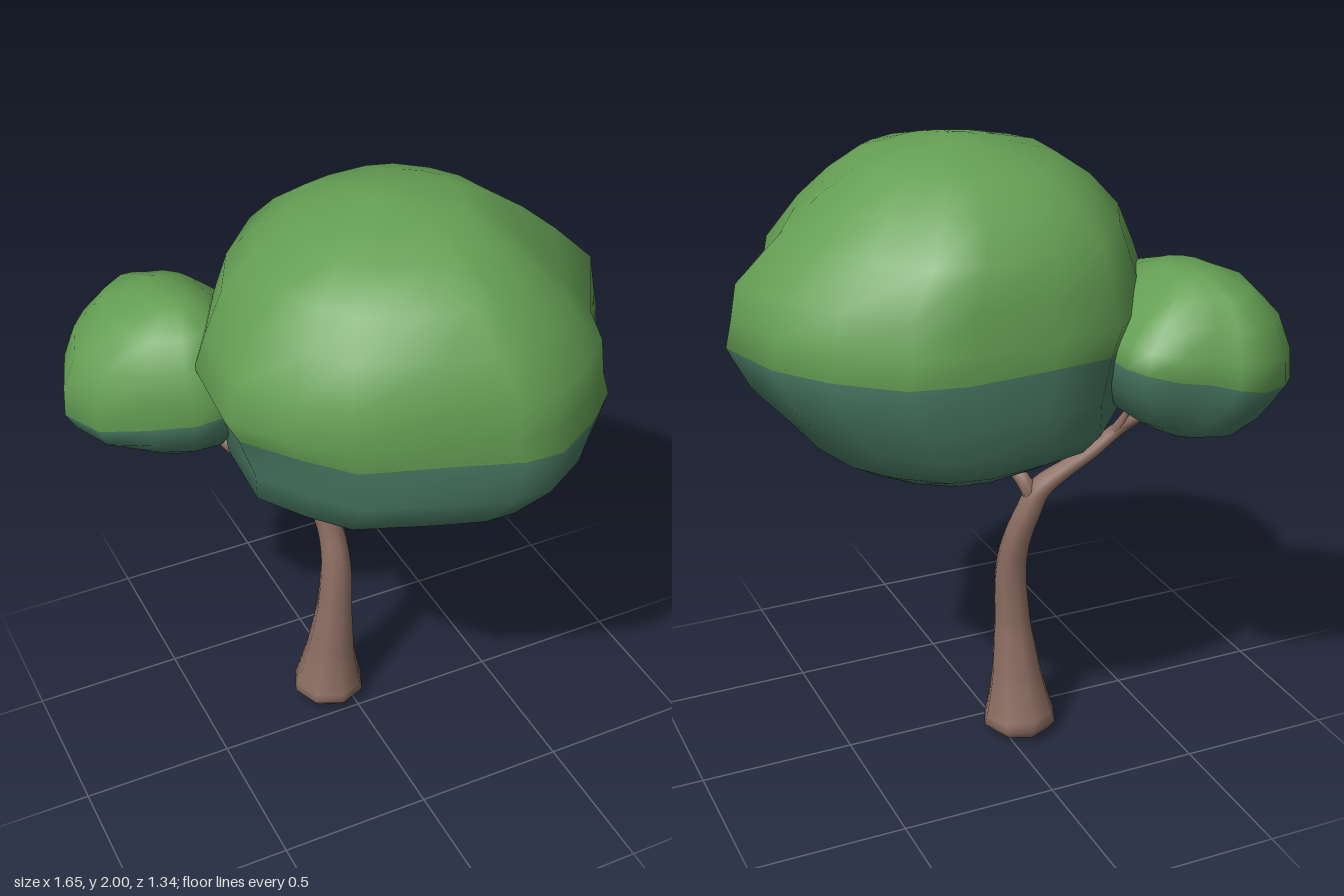
import * as THREE from 'three';
import { mergeVertices } from 'three/addons/utils/BufferGeometryUtils.js';

const bark = new THREE.MeshStandardMaterial({ color: 0x8d6e63 });
bark.name = 'bark brown';
const leafLight = new THREE.MeshStandardMaterial({ color: 0x659f54 });
leafLight.name = 'leaf green';
const leafDark = new THREE.MeshStandardMaterial({ color: 0x4c7d66 });
leafDark.name = 'shaded leaf green';

// Tapered limb swept along a curve; each point is [x, y, z, radius]
function limb(name, pts, segments) {
  const curve = new THREE.CatmullRomCurve3(pts.map(p => new THREE.Vector3(p[0], p[1], p[2])));
  const sides = 8;
  const tube = new THREE.TubeGeometry(curve, segments, 1, sides, false);
  const pos = tube.attributes.position;
  const v = new THREE.Vector3();
  for (let i = 0; i <= segments; i++) {
    const u = i / segments;
    const k = curve.getUtoTmapping(u) * (pts.length - 1);
    const a = Math.min(Math.floor(k), pts.length - 2);
    const r = THREE.MathUtils.lerp(pts[a][3], pts[a + 1][3], k - a);
    const c = curve.getPointAt(u);
    for (let j = 0; j <= sides; j++) {
      const n = i * (sides + 1) + j;
      v.fromBufferAttribute(pos, n).sub(c).multiplyScalar(r).add(c);
      pos.setXYZ(n, v.x, v.y, v.z);
    }
  }
  // weld the seam so the normals follow the taper smoothly
  tube.deleteAttribute('uv');
  tube.deleteAttribute('normal');
  const geo = mergeVertices(tube, 1e-5);
  geo.computeVertexNormals();
  const mesh = new THREE.Mesh(geo, bark);
  mesh.name = name;
  return mesh;
}

// Lumpy foliage lofted through levels [y, xMin, xMax, zMin, zMax, slope along x];
// the outline is the widest plan shape, and the levels above splitRow are light
function foliage(name, outline, levels, splitRow) {
  const span = k => {
    const s = outline.map(p => p[k]);
    return [Math.min(...s), Math.max(...s)];
  };
  const [x0, x1] = span(0), [z0, z1] = span(1);
  const shape = outline.map(([x, z]) => [(2 * x - x0 - x1) / (x1 - x0), (2 * z - z0 - z1) / (z1 - z0)]);
  const n = shape.length;
  const verts = [], index = [];
  for (const [y, xa, xb, za, zb, slope = 0] of levels) {
    const hx = (xb - xa) / 2, hz = (zb - za) / 2;
    const wide = Math.min(1, (2 * hx) / (x1 - x0));
    for (const [sx, sz] of shape) {
      // narrow rings become rounder
      const m = THREE.MathUtils.lerp(1 / Math.hypot(sx, sz), 1, wide);
      const dx = sx * m * hx;
      verts.push((xa + xb) / 2 + dx, y + slope * dx, (za + zb) / 2 + sz * m * hz);
    }
  }
  // end cap centres
  const ends = [levels[0], levels[levels.length - 1]];
  for (const [y, xa, xb, za, zb] of ends) verts.push((xa + xb) / 2, y, (za + zb) / 2);
  const low = levels.length * n, high = low + 1;
  for (let j = 0; j < n; j++) index.push(low, (j + 1) % n, j);
  let split = 0;
  for (let i = 0; i < levels.length - 1; i++) {
    if (i === splitRow) split = index.length;
    for (let j = 0; j < n; j++) {
      const a = i * n + j, b = i * n + (j + 1) % n;
      index.push(a, b, b + n, a, b + n, a + n);
    }
  }
  const top = (levels.length - 1) * n;
  for (let j = 0; j < n; j++) index.push(high, top + j, top + (j + 1) % n);
  const geo = new THREE.BufferGeometry();
  geo.setAttribute('position', new THREE.Float32BufferAttribute(verts, 3));
  geo.setIndex(index);
  geo.computeVertexNormals();
  geo.addGroup(0, split, 0);
  geo.addGroup(split, index.length - split, 1);
  const mesh = new THREE.Mesh(geo, [leafDark, leafLight]);
  mesh.name = name;
  return mesh;
}

export function createModel() {
  const tree = new THREE.Group();
  tree.name = 'tree';

  // Trunk, bending back and running on into the long branch
  tree.add(limb('trunk', [
    [-0.06, 0.012, -0.12, 0.1], [-0.06, 0.04, -0.12, 0.127], [-0.053, 0.2, -0.112, 0.088],
    [-0.042, 0.4, -0.1, 0.063], [-0.032, 0.6, -0.108, 0.053], [-0.04, 0.72, -0.135, 0.045],
    [-0.066, 0.82, -0.16, 0.041], [-0.1, 0.9, -0.172, 0.038], [-0.18, 0.96, -0.19, 0.029],
    [-0.26, 1.015, -0.21, 0.025], [-0.345, 1.09, -0.235, 0.022], [-0.385, 1.15, -0.31, 0.016],
    [-0.4, 1.175, -0.39, 0.006],
  ], 48));
  const base = new THREE.Mesh(new THREE.ConeGeometry(0.105, 0.012, 8, 1, true), bark);
  base.name = 'trunkBase';
  base.rotation.x = Math.PI;
  base.position.set(-0.06, 0.006, -0.12);
  tree.add(base);

  // Smaller branches and twigs
  tree.add(limb('frontBranch', [
    [-0.08, 0.85, -0.17, 0.024], [-0.057, 0.92, -0.155, 0.026], [-0.022, 0.98, -0.09, 0.02],
    [-0.002, 1.035, -0.035, 0.017], [0.05, 1.057, 0.035, 0.016], [0.116, 1.07, 0.124, 0.005],
  ], 20));
  tree.add(limb('frontTwig', [
    [0.0, 1.02, -0.045, 0.014], [-0.03, 1.045, -0.08, 0.012], [-0.065, 1.07, -0.115, 0.005],
  ], 6));
  tree.add(limb('backTwig', [
    [-0.33, 1.08, -0.23, 0.018], [-0.345, 1.12, -0.25, 0.015], [-0.355, 1.17, -0.27, 0.006],
  ], 6));

  // Large canopy, hollowed a little underneath
  tree.add(foliage('mainCanopy', [
    [0.82, 0.03], [0.75, -0.2], [0.63, -0.36], [0.45, -0.51], [0.27, -0.545], [0, -0.525],
    [-0.2, -0.505], [-0.38, -0.3], [-0.5, -0.08], [-0.525, 0.22], [-0.4, 0.38], [-0.28, 0.51],
    [0, 0.6], [0.18, 0.665], [0.3, 0.67], [0.47, 0.57], [0.58, 0.47], [0.63, 0.32],
  ], [
    [1.09, -0.12, 0.28, -0.2, 0.22, -0.08], [1.056, -0.27, 0.45, -0.37, 0.38, -0.085],
    [1.11, -0.35, 0.57, -0.46, 0.475, -0.04],
    [1.18, -0.42, 0.645, -0.5, 0.57], [1.3, -0.44, 0.755, -0.525, 0.66], [1.44, -0.485, 0.825, -0.54, 0.67],
    [1.52, -0.525, 0.805, -0.53, 0.668], [1.63, -0.485, 0.785, -0.515, 0.65], [1.76, -0.425, 0.65, -0.475, 0.595],
    [1.86, -0.33, 0.53, -0.38, 0.485], [1.94, -0.21, 0.41, -0.275, 0.36], [1.98, -0.06, 0.31, -0.15, 0.2],
    [2.0, 0.03, 0.15, -0.06, 0.07],
  ], 5));

  // Small canopy on the long branch, tilted outward
  tree.add(foliage('sideCanopy', [
    [-0.2, -0.34], [-0.21, -0.51], [-0.25, -0.57], [-0.33, -0.62], [-0.43, -0.625], [-0.5, -0.665],
    [-0.58, -0.675], [-0.7, -0.6], [-0.77, -0.52], [-0.83, -0.35], [-0.77, -0.2], [-0.65, -0.11],
    [-0.52, -0.03], [-0.4, -0.01], [-0.28, -0.09], [-0.22, -0.2],
  ], [
    [1.125, -0.63, -0.47, -0.46, -0.25], [1.15, -0.68, -0.37, -0.55, -0.17], [1.2, -0.735, -0.27, -0.61, -0.09, 0.06],
    [1.27, -0.8, -0.22, -0.635, -0.03, 0.15], [1.342, -0.83, -0.2, -0.675, -0.01, 0.2],
    [1.42, -0.825, -0.215, -0.665, -0.015, 0.15], [1.51, -0.78, -0.28, -0.625, -0.04, 0.08],
    [1.59, -0.68, -0.35, -0.565, -0.11, 0.03], [1.635, -0.56, -0.42, -0.44, -0.24],
  ], 4));

  return tree;
}
